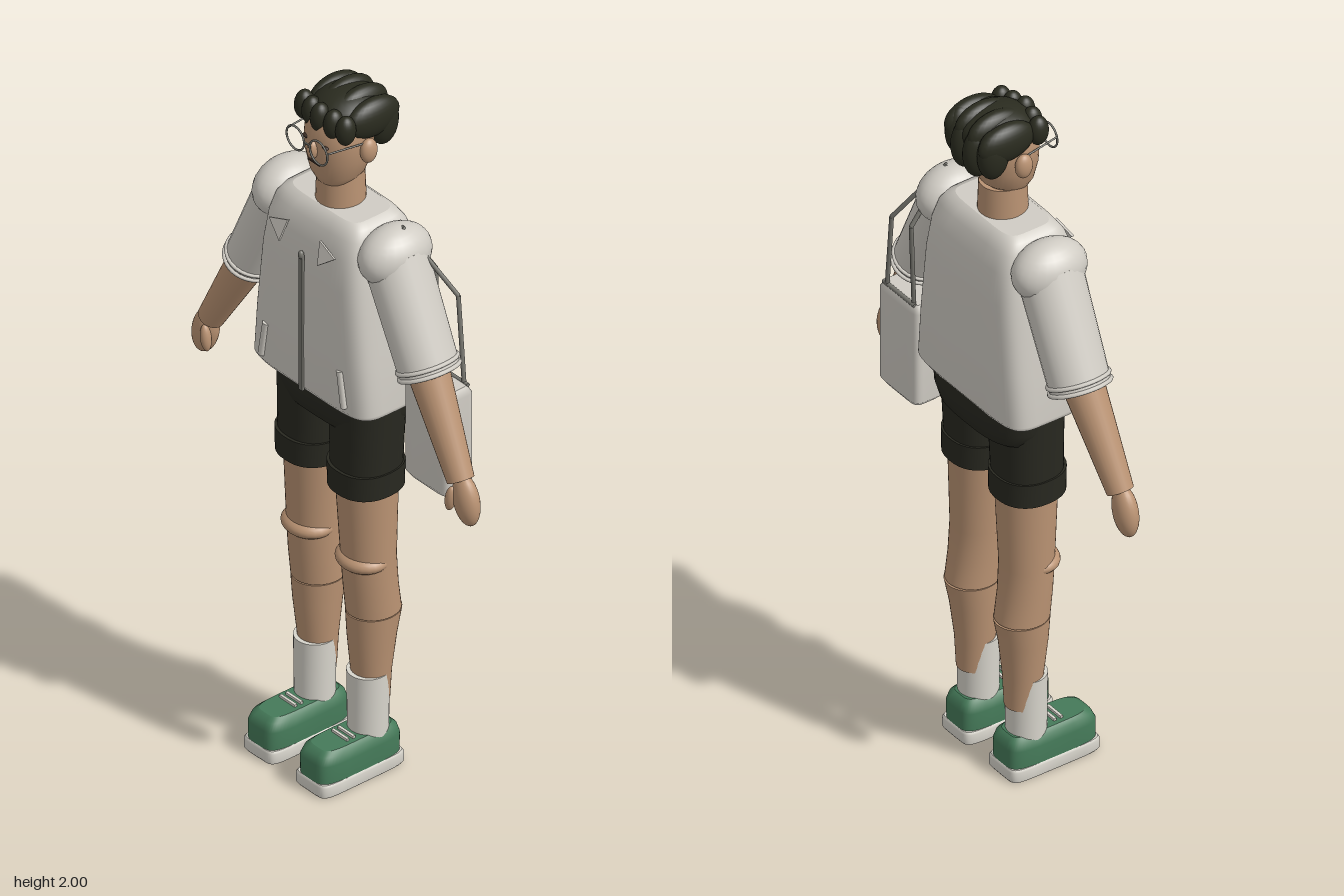
import * as THREE from 'three';

const paint = (name, color) => {
  const m = new THREE.MeshStandardMaterial({ color });
  m.name = name;
  return m;
};

export function createModel() {
  const skin = paint('skin', 0xba9373);
  const hair = paint('hair', 0x2a2b1f);
  const shirt = paint('shirt', 0xd0ccc4);
  const shorts = paint('shorts', 0x282820);
  const green = paint('shoe green', 0x457a59);
  const white = paint('sock and sole white', 0xd8d5cc);
  const metal = paint('metal grey', 0x77766f);
  const dark = paint('face line', 0x3a2c24);

  const model = new THREE.Group();
  model.name = 'standingFigure';

  const add = (name, geometry, material, x = 0, y = 0, z = 0) => {
    const mesh = new THREE.Mesh(geometry, material);
    mesh.name = name;
    mesh.position.set(x, y, z);
    model.add(mesh);
    return mesh;
  };

  const ball = (name, material, x, y, z, rx, ry, rz) => {
    const mesh = add(name, new THREE.SphereGeometry(1, 24, 16), material, x, y, z);
    mesh.scale.set(rx, ry, rz);
    return mesh;
  };

  // Rounded-section body through rings of [y, cx, cz, rx, rz], listed upwards
  const loft = (name, material, rings, power = 2, seg = 40) => {
    const pos = [], idx = [];
    const curve = (v) => Math.sign(v) * Math.abs(v) ** (2 / power);
    const ringPoints = ([y, cx, cz, rx, rz]) => {
      for (let i = 0; i < seg; i++) {
        const a = (i / seg) * Math.PI * 2;
        pos.push(cx + rx * curve(Math.cos(a)), y, cz + rz * curve(Math.sin(a)));
      }
    };
    rings.forEach(ringPoints);
    for (let j = 0; j < rings.length - 1; j++) {
      for (let i = 0; i < seg; i++) {
        const a = j * seg + i, b = j * seg + ((i + 1) % seg);
        idx.push(a, a + seg, b, b, a + seg, b + seg);
      }
    }
    // Separate cap vertices keep the end edges sharp
    for (const [ring, top] of [[rings[0], false], [rings[rings.length - 1], true]]) {
      const base = pos.length / 3;
      ringPoints(ring);
      pos.push(ring[1], ring[0], ring[2]);
      for (let i = 0; i < seg; i++) {
        const a = base + i, b = base + ((i + 1) % seg);
        if (top) idx.push(base + seg, b, a);
        else idx.push(base + seg, a, b);
      }
    }
    const g = new THREE.BufferGeometry();
    g.setAttribute('position', new THREE.Float32BufferAttribute(pos, 3));
    g.setIndex(idx);
    g.computeVertexNormals();
    return add(name, g, material);
  };

  // Tapered limb between two points; depth stretches its section along z
  const limb = (name, material, from, to, r0, r1, depth = 1) => {
    const a = new THREE.Vector3(...from), b = new THREE.Vector3(...to);
    const dir = b.clone().sub(a);
    const g = new THREE.CylinderGeometry(r1, r0, dir.length(), 28);
    g.scale(1, 1, depth);
    const mesh = add(name, g, material);
    mesh.position.copy(a).add(b).multiplyScalar(0.5);
    mesh.quaternion.setFromUnitVectors(new THREE.Vector3(0, 1, 0), dir.normalize());
    return mesh;
  };

  // Jacket body, zip and neck
  loft('jacketBody', shirt, [
    [1.135, 0, -0.03, 0.222, 0.12], [1.15, 0, -0.03, 0.229, 0.13], [1.3, 0, -0.03, 0.215, 0.131],
    [1.5, 0, -0.03, 0.192, 0.129], [1.59, 0, -0.03, 0.18, 0.118],
    [1.64, 0, -0.03, 0.168, 0.102], [1.665, 0, -0.03, 0.152, 0.085], [1.675, 0, -0.03, 0.13, 0.07],
  ], 5.5, 64);
  add('zip', new THREE.BoxGeometry(0.014, 0.41, 0.008), metal, 0, 1.345, 0.102);
  ball('zipPull', metal, 0, 1.55, 0.104, 0.008, 0.012, 0.008);
  limb('neck', skin, [0, 1.64, -0.028], [0, 1.76, -0.028], 0.064, 0.06, 1.05);

  // Head
  loft('head', skin, [
    [1.73, 0, -0.005, 0.03, 0.03], [1.742, 0, -0.01, 0.05, 0.048], [1.77, 0, -0.018, 0.07, 0.07],
    [1.82, 0, -0.023, 0.086, 0.084], [1.87, 0, -0.025, 0.091, 0.088],
    [1.92, 0, -0.028, 0.087, 0.086], [1.96, 0, -0.03, 0.06, 0.06],
  ], 2.1);
  ball('nose', skin, 0, 1.852, 0.064, 0.014, 0.026, 0.018);
  add('mouth', new THREE.BoxGeometry(0.045, 0.005, 0.006), dark, 0, 1.813, 0.06);
  add('glassesBridge', new THREE.BoxGeometry(0.026, 0.004, 0.004), metal, 0, 1.877, 0.084);

  // Hair: skull cap, swept locks and fringe curls
  ball('hairCap', hair, 0, 1.93, -0.05, 0.094, 0.062, 0.1);
  for (const x of [-0.073, -0.027, 0.027, 0.073]) {
    const inner = Math.abs(x) < 0.05;
    ball('topLock', hair, x, inner ? 1.943 : 1.93, -0.07, 0.033, 0.055, 0.085);
    ball('backLock', hair, x * 0.95, inner ? 1.895 : 1.905, inner ? -0.122 : -0.108, 0.033, 0.072, 0.045);
  }
  for (const x of [-0.08, -0.042, 0, 0.042, 0.08]) {
    const side = Math.abs(x) / 0.08;
    ball('fringeCurl', hair, x, 1.94 - side * 0.008, 0.04 - side * 0.016, 0.025, 0.042, 0.028);
  }

  // Pelvis of the shorts
  loft('shortsHips', shorts, [
    [1.03, 0, -0.04, 0.13, 0.075], [1.05, 0, -0.04, 0.178, 0.105],
    [1.09, 0, -0.04, 0.193, 0.114], [1.15, 0, -0.04, 0.198, 0.116],
  ], 3);

  for (const s of [1, -1]) {
    // Ears, eyes and glasses
    ball('ear', skin, s * 0.1, 1.857, -0.035, 0.018, 0.035, 0.025);
    ball('eye', dark, s * 0.038, 1.872, 0.056, 0.011, 0.005, 0.006);
    add('glassesRim', new THREE.TorusGeometry(0.034, 0.0028, 8, 32), metal, s * 0.045, 1.873, 0.084);
    limb('glassesTemple', metal, [s * 0.079, 1.885, 0.082], [s * 0.096, 1.88, -0.03], 0.0025, 0.0025);

    // Collar flap
    const flap = new THREE.Shape([[-0.065, 0], [0, 0.022], [-0.012, -0.042]]
      .map(([x, y]) => new THREE.Vector2(-s * x, y)));
    const collar = add('collarFlap', new THREE.ExtrudeGeometry(flap, { depth: 0.006, bevelEnabled: false }),
      shirt, s * 0.062, 1.597, 0.096);
    collar.rotation.x = -0.3;

    // Jacket pocket welt
    limb('pocketWelt', shirt, [s * 0.16, 1.165, 0.099], [s * 0.143, 1.268, 0.098], 0.01, 0.01, 0.8);

    // Arm
    ball('shoulder', shirt, s * 0.205, 1.6, -0.032, 0.075, 0.082, 0.107);
    limb('sleeve', shirt, [s * 0.205, 1.595, -0.032], [s * 0.34, 1.31, -0.032], 0.078, 0.073, 1.13);
    for (const t of [0.93, 0.99]) {
      const g = new THREE.TorusGeometry(0.073, 0.006, 8, 36);
      g.rotateX(Math.PI / 2);
      g.scale(1, 1, 1.13);
      const cuff = add('sleeveCuff', g, shirt, s * (0.205 + 0.135 * t), 1.595 - 0.285 * t, -0.032);
      cuff.rotation.z = s * Math.atan2(0.135, 0.285);
    }
    limb('forearm', skin, [s * 0.335, 1.33, -0.026], [s * 0.483, 1.065, -0.012], 0.056, 0.036);
    const hand = ball('hand', skin, s * 0.505, 1.015, -0.012, 0.04, 0.072, 0.031);
    hand.rotation.z = s * 0.25;
    const thumb = ball('thumb', skin, s * 0.474, 1.015, 0.014, 0.014, 0.038, 0.015);
    thumb.rotation.z = -s * 0.15;

    // Shorts leg with turned hem
    loft('shortsLeg', shorts, [
      [0.88, s * 0.101, -0.025, 0.088, 0.088], [1.0, s * 0.101, -0.028, 0.092, 0.09],
      [1.14, s * 0.103, -0.03, 0.095, 0.093],
    ], 2.3);
    loft('shortsHem', shorts, [
      [0.86, s * 0.101, -0.025, 0.093, 0.095], [0.93, s * 0.101, -0.025, 0.094, 0.096],
    ], 2.3);

    // Leg
    loft('upperLeg', skin, [
      [0.475, s * 0.106, -0.045, 0.069, 0.073], [0.55, s * 0.106, -0.036, 0.07, 0.071],
      [0.64, s * 0.105, -0.03, 0.072, 0.071], [0.9, s * 0.1, -0.028, 0.081, 0.083],
    ]);
    ball('knee', skin, s * 0.105, 0.64, -0.01, 0.076, 0.032, 0.066);
    loft('lowerLeg', skin, [
      [0.2, s * 0.103, -0.043, 0.046, 0.046], [0.29, s * 0.103, -0.04, 0.053, 0.053],
      [0.4, s * 0.105, -0.041, 0.063, 0.065], [0.472, s * 0.106, -0.046, 0.068, 0.075],
    ]);
    loft('sock', white, [
      [0.1, s * 0.103, -0.03, 0.053, 0.053], [0.29, s * 0.103, -0.03, 0.055, 0.055],
    ]);

    // Shoe
    loft('shoeSole', white, [
      [0, s * 0.101, 0.028, 0.06, 0.135], [0.006, s * 0.101, 0.028, 0.064, 0.139],
      [0.032, s * 0.101, 0.028, 0.064, 0.139], [0.038, s * 0.101, 0.028, 0.06, 0.135],
    ], 7, 48);
    loft('shoeUpper', green, [
      [0.036, s * 0.101, 0.028, 0.06, 0.135], [0.09, s * 0.101, 0.028, 0.061, 0.135],
      [0.112, s * 0.101, 0.026, 0.054, 0.127], [0.122, s * 0.101, 0.024, 0.043, 0.112],
    ], 4.5, 48);
    for (const z of [0.04, 0.06]) {
      add('shoeLace', new THREE.BoxGeometry(0.06, 0.008, 0.008), white, s * 0.101, 0.125, z);
    }
  }

  // Shoulder bag: soft box with strap
  loft('bag', shirt, [
    [0.945, 0.315, -0.083, 0.072, 0.04], [0.96, 0.315, -0.083, 0.085, 0.05],
    [1.235, 0.315, -0.083, 0.085, 0.05], [1.255, 0.315, -0.083, 0.072, 0.04],
  ], 6, 48);
  const strapPoints = [[0.262, 1.25, -0.115], [0.232, 1.52, -0.145], [0.218, 1.68, -0.045],
    [0.33, 1.49, -0.135], [0.37, 1.25, -0.12]];
  for (let i = 0; i < strapPoints.length - 1; i++) {
    limb('bagStrap', metal, strapPoints[i], strapPoints[i + 1], 0.006, 0.006);
  }
  limb('bagTopRod', metal, [0.25, 1.253, -0.12], [0.385, 1.253, -0.12], 0.006, 0.006);

  return model;
}
